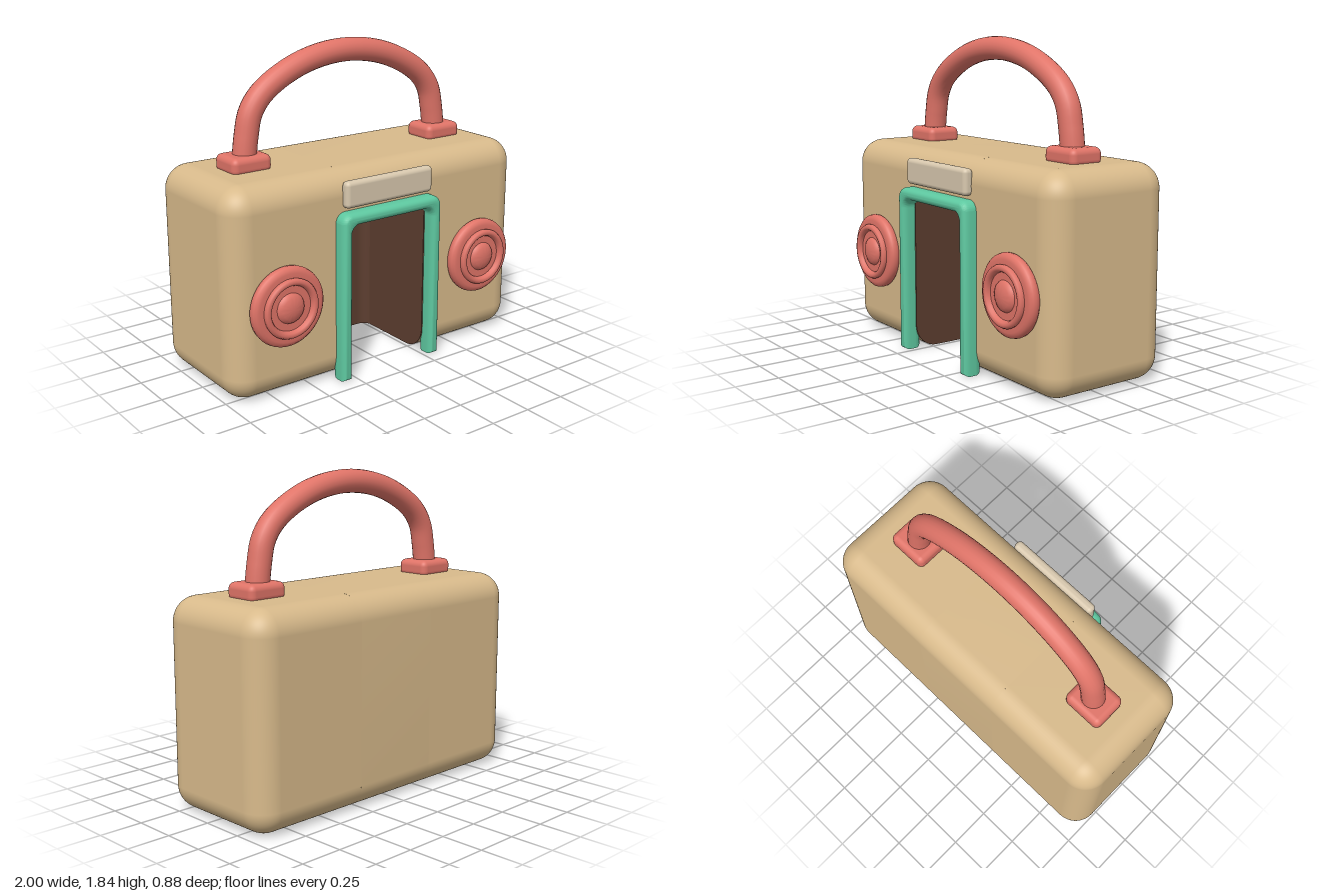
import * as THREE from 'three';
import { toCreasedNormals } from 'three/addons/utils/BufferGeometryUtils.js';
import { RoundedBoxGeometry } from 'three/addons/geometries/RoundedBoxGeometry.js';

const W = 2, H = 1.19, BACK = -0.44, FRONT = 0.35, R = 0.14;
const ZC = (BACK + FRONT) / 2;
const DOOR_X = 0.28, DOOR_Y = 0.9, DOOR_Z = -0.2, SKIN = 0.006;

function material(name, color) {
  const m = new THREE.MeshStandardMaterial({ color });
  m.name = name;
  return m;
}

// Extrudes a side-on outline (drawn with -z as its first axis) along x.
function extrudeAlongX(shape, x0, width) {
  const geo = new THREE.ExtrudeGeometry(shape, { depth: width, bevelEnabled: false, curveSegments: 10 });
  geo.rotateY(Math.PI / 2);
  geo.translate(x0, 0, 0);
  return toCreasedNormals(geo, 0.6);
}

export function createModel() {
  const model = new THREE.Group();
  const tan = material('tan', 0xd8ba8b);
  const coral = material('coral', 0xe07468);
  const green = material('green', 0x5ec8a0);
  const brown = material('brown', 0x5c3d2f);
  const cream = material('cream', 0xd8c8ae);

  function add(name, geo, mat, x = 0, y = 0, z = 0) {
    const mesh = new THREE.Mesh(geo, mat);
    mesh.name = name;
    mesh.position.set(x, y, z);
    model.add(mesh);
    return mesh;
  }

  // Body ends: a rounded box flattened where it meets the doorway
  for (const side of [1, -1]) {
    const geo = new RoundedBoxGeometry(W, H, FRONT - BACK, 8, R);
    const p = geo.attributes.position;
    for (let i = 0; i < p.count; i++) {
      p.setX(i, side * Math.max(side * p.getX(i), DOOR_X));
    }
    add(side > 0 ? 'bodyLeft' : 'bodyRight', geo, tan, 0, H / 2, ZC);
  }

  // Body middle: rounded section with the doorway cut out
  const mid = new THREE.Shape();
  mid.moveTo(-DOOR_Z, 0);
  mid.lineTo(-BACK - R, 0);
  mid.absarc(-BACK - R, R, R, -Math.PI / 2, 0, false);
  mid.lineTo(-BACK, H - R);
  mid.absarc(-BACK - R, H - R, R, 0, Math.PI / 2, false);
  mid.lineTo(-FRONT + R, H);
  mid.absarc(-FRONT + R, H - R, R, Math.PI / 2, Math.PI, false);
  mid.lineTo(-FRONT, DOOR_Y);
  mid.lineTo(-DOOR_Z, DOOR_Y);
  mid.closePath();
  add('bodyMiddle', extrudeAlongX(mid, -DOOR_X, DOOR_X * 2), tan);

  // Doorway side walls, following the rounded lower front edge
  const wall = new THREE.Shape();
  wall.moveTo(-DOOR_Z, 0);
  wall.lineTo(-DOOR_Z, DOOR_Y);
  wall.lineTo(-FRONT, DOOR_Y);
  wall.lineTo(-FRONT, R);
  wall.absarc(-FRONT + R, R, R, Math.PI, Math.PI * 1.5, false);
  wall.closePath();
  add('doorwayWallLeft', extrudeAlongX(wall, DOOR_X - SKIN, SKIN), brown);
  add('doorwayWallRight', extrudeAlongX(wall, -DOOR_X, SKIN), brown);

  // Doorway back with rounded inner corners, and its ceiling
  const f = 0.07, zb = DOOR_Z + SKIN;
  const back = new THREE.Shape();
  back.moveTo(-DOOR_X, -DOOR_Z);
  back.lineTo(DOOR_X, -DOOR_Z);
  back.lineTo(DOOR_X, -zb - f);
  back.absarc(DOOR_X - f, -zb - f, f, 0, Math.PI / 2, false);
  back.lineTo(-DOOR_X + f, -zb);
  back.absarc(-DOOR_X + f, -zb - f, f, Math.PI / 2, Math.PI, false);
  back.closePath();
  const backGeo = new THREE.ExtrudeGeometry(back, { depth: DOOR_Y, bevelEnabled: false, curveSegments: 8 });
  backGeo.rotateX(-Math.PI / 2);
  add('doorwayBack', toCreasedNormals(backGeo, 0.6), brown);
  add('doorwayCeiling', new THREE.BoxGeometry(DOOR_X * 2, SKIN, FRONT - DOOR_Z), brown,
    0, DOOR_Y - SKIN / 2, (FRONT + DOOR_Z) / 2);

  // Door frame: a slim arch, swelled out by its bevel
  const b = 0.03, ox = 0.345 - b, oy = 0.97 - b, ix = DOOR_X + b, iy = DOOR_Y + b, ro = 0.03, ri = 0.08;
  const arch = new THREE.Shape();
  arch.moveTo(ox, b);
  arch.lineTo(ox, oy - ro);
  arch.absarc(ox - ro, oy - ro, ro, 0, Math.PI / 2, false);
  arch.lineTo(-ox + ro, oy);
  arch.absarc(-ox + ro, oy - ro, ro, Math.PI / 2, Math.PI, false);
  arch.lineTo(-ox, b);
  arch.lineTo(-ix, b);
  arch.lineTo(-ix, iy - ri);
  arch.absarc(-ix + ri, iy - ri, ri, Math.PI, Math.PI / 2, true);
  arch.lineTo(ix - ri, iy);
  arch.absarc(ix - ri, iy - ri, ri, Math.PI / 2, 0, true);
  arch.lineTo(ix, b);
  arch.closePath();
  const archGeo = new THREE.ExtrudeGeometry(arch, {
    depth: 0.035, bevelSize: b, bevelThickness: 0.04, bevelSegments: 6, curveSegments: 8,
  });
  add('doorFrame', toCreasedNormals(archGeo, 0.8), green, 0, 0, 0.355);

  // Sign plate above the door
  add('signPlate', new RoundedBoxGeometry(0.6, 0.15, 0.06, 4, 0.025), cream, 0, 1.065, 0.365);

  // Speakers: stepped rings around a dome
  const profile = [
    [0.19, 0.33], [0.21, 0.343], [0.222, 0.358], [0.225, 0.375], [0.221, 0.392], [0.209, 0.404],
    [0.192, 0.408], [0.166, 0.408], [0.168, 0.42], [0.162, 0.432], [0.148, 0.437], [0.135, 0.432],
    [0.128, 0.42], [0.126, 0.408], [0.085, 0.408], [0.079, 0.418], [0.06, 0.43], [0.032, 0.437], [0, 0.44],
  ].map(([r, z]) => new THREE.Vector2(r, z));
  const speakerGeo = toCreasedNormals(new THREE.LatheGeometry(profile, 48).rotateX(Math.PI / 2), 0.8);

  // Handle feet are mirrored along with the speakers
  const footGeo = new RoundedBoxGeometry(0.245, 0.1, 0.21, 4, 0.035);
  for (const side of [1, -1]) {
    const label = side > 0 ? 'Left' : 'Right';
    add('speaker' + label, speakerGeo, coral, side * 0.68, 0.525, 0);
    add('handleFoot' + label, footGeo, coral, side * 0.672, 1.22, ZC);
  }

  // Carrying handle
  const half = [[0.672, 1.2], [0.652, 1.36], [0.62, 1.49], [0.535, 1.595], [0.29, 1.722]];
  const points = [
    ...half.map(([x, y]) => new THREE.Vector3(-x, y, 0)),
    new THREE.Vector3(0, 1.768, 0),
    ...half.slice().reverse().map(([x, y]) => new THREE.Vector3(x, y, 0)),
  ];
  const path = new THREE.CatmullRomCurve3(points);
  add('handle', new THREE.TubeGeometry(path, 64, 0.067, 20), coral, 0, 0, ZC);

  return model;
}
